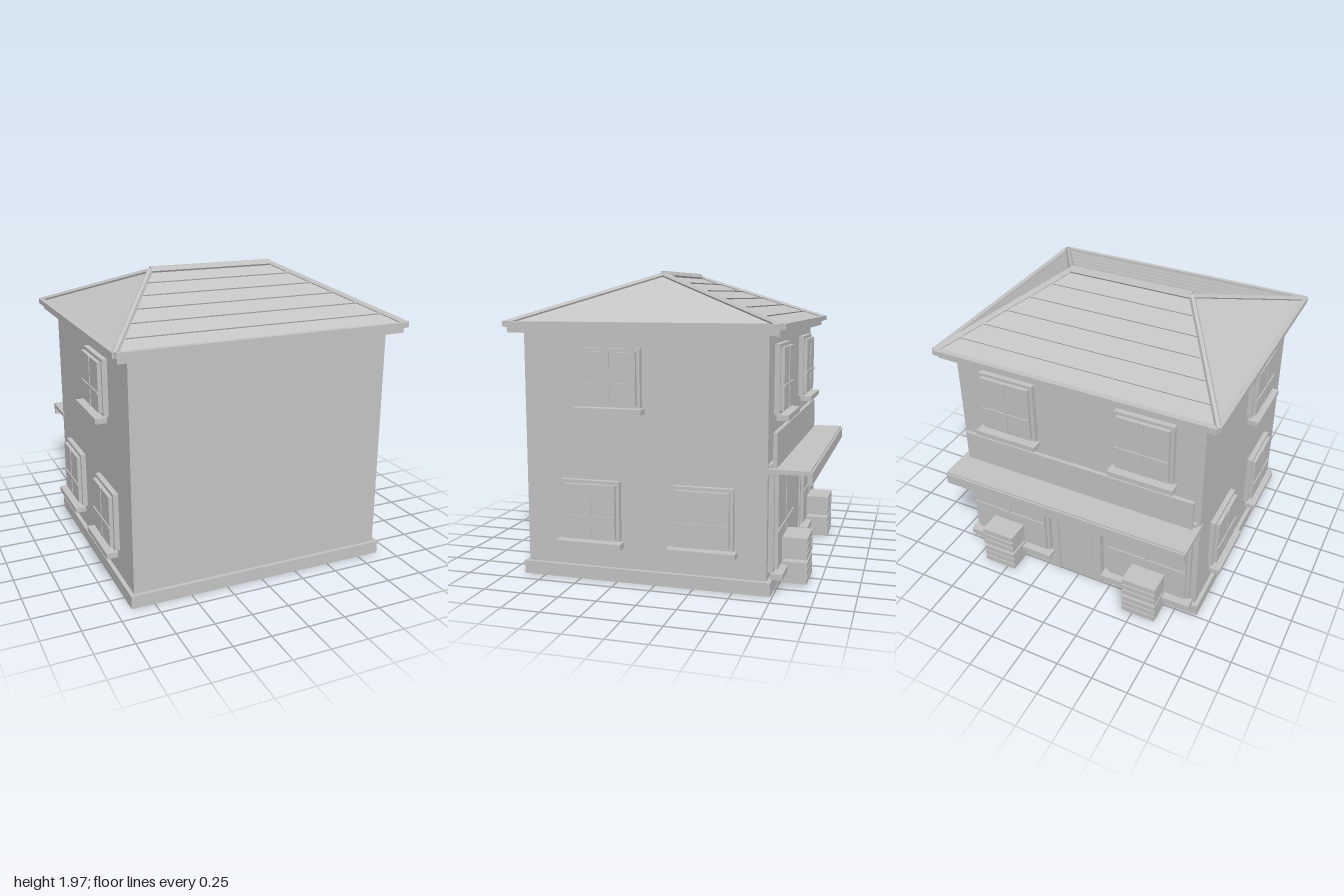
import * as THREE from 'three';
import { ConvexGeometry } from 'three/addons/geometries/ConvexGeometry.js';

export function createModel() {
  const house = new THREE.Group();
  house.name = 'house';
  const grey = new THREE.MeshStandardMaterial({ color: 0xc4c4c4 });
  grey.name = 'light grey';
  const V = (x, y, z) => new THREE.Vector3(x, y, z);

  const mesh = (parent, name, geometry) => {
    const m = new THREE.Mesh(geometry, grey);
    m.name = name;
    parent.add(m);
    return m;
  };
  // Box given by its limits on each axis
  const box = (parent, name, [x0, x1], [y0, y1], [z0, z1]) => {
    const m = mesh(parent, name, new THREE.BoxGeometry(x1 - x0, y1 - y0, z1 - z0));
    m.position.set((x0 + x1) / 2, (y0 + y1) / 2, (z0 + z1) / 2);
    return m;
  };
  // Six-sided bar between two points
  const bar = (parent, name, a, b, r) => {
    const g = new THREE.CylinderGeometry(r, r, a.distanceTo(b), 6).toNonIndexed();
    g.computeVertexNormals();
    const m = mesh(parent, name, g);
    m.position.copy(a).add(b).multiplyScalar(0.5);
    m.quaternion.setFromUnitVectors(V(0, 1, 0), b.clone().sub(a).normalize());
    return m;
  };

  // Walls, plinth and soffit
  box(house, 'walls', [-0.877, 0.877], [0, 1.6], [-0.71, 0.87]);
  box(house, 'plinth', [-0.903, 0.903], [0, 0.085], [-0.737, 0.895]);
  box(house, 'soffit', [-0.96, 0.96], [1.58, 1.62], [-0.785, 0.945]);

  // Hipped roof
  const roof = new THREE.Group();
  roof.name = 'roof';
  house.add(roof);
  const eaveX = 0.975, eaveY = 1.635, ridgeX = 0.44, ridgeY = 1.94, ridgeZ = 0.078;
  const front = 0.955, back = -0.8;
  const points = [];
  for (const s of [-1, 1]) {
    points.push(V(s * ridgeX, ridgeY, ridgeZ));
    for (const z of [front, back]) {
      points.push(V(s * eaveX, eaveY, z), V(s * eaveX, 1.615, z));
    }
  }
  mesh(roof, 'roofSlopes', new ConvexGeometry(points));

  // Eave trims, hip bars and ridge cap
  for (const s of [-1, 1]) {
    box(roof, 'sideEave', s > 0 ? [0.955, 0.99] : [-0.99, -0.955], [1.618, 1.652], [-0.8, 0.955]);
    for (const z of [front, back]) {
      bar(roof, 'hipBar', V(s * eaveX, eaveY + 0.003, z), V(s * ridgeX, ridgeY + 0.003, ridgeZ), 0.02);
    }
  }
  box(roof, 'frontEave', [-0.975, 0.975], [1.618, 1.652], [0.94, 0.97]);
  box(roof, 'backEave', [-0.975, 0.975], [1.618, 1.652], [-0.822, -0.785]);
  bar(roof, 'ridgeCap', V(-ridgeX, 1.943, ridgeZ), V(ridgeX, 1.943, ridgeZ), 0.03);

  // Tile courses on the two long slopes
  for (const edge of [front, back]) {
    const run = edge - ridgeZ;
    const tilt = Math.atan2(ridgeY - eaveY, run > 0 ? run : -run) * Math.sign(run);
    for (let i = 1; i <= 5; i++) {
      const t = i / 6;
      const half = ridgeX + (eaveX - ridgeX) * t - 0.02;
      const course = mesh(roof, 'tileCourse', new THREE.BoxGeometry(half * 2, 0.012, 0.012));
      course.position.set(0, ridgeY + (eaveY - ridgeY) * t + 0.002, ridgeZ + run * t);
      course.rotation.x = tilt;
    }
  }

  // Window facing +z with its bottom centre on the wall
  const makeWindow = (name, w, h) => {
    const g = new THREE.Group();
    g.name = name;
    const a = w / 2, b = 0.022, barY = h * 0.41;
    box(g, 'frame', [-a, a], [0, h], [-0.005, 0.034]);
    box(g, 'pane', [-a + b, a - b], [b, h - b], [0.03, 0.058]);
    box(g, 'uprightBar', [-0.008, 0.008], [b, h - b], [0.05, 0.063]);
    box(g, 'crossBar', [-a + b, a - b], [barY - 0.008, barY + 0.008], [0.05, 0.066]);
    box(g, 'sill', [-a - 0.025, a + 0.025], [-0.032, 0.004], [0.02, 0.096]);
    house.add(g);
    return g;
  };
  for (const s of [-1, 1]) {
    for (const [z, y, w, h] of [[0.28, 1.12, 0.395, 0.37], [0.42, 0.262, 0.385, 0.39], [-0.315, 0.262, 0.385, 0.39]]) {
      const win = makeWindow('sideWindow', w, h);
      win.position.set(s * 0.877, y, z);
      win.rotation.y = s * Math.PI / 2;
    }
    for (const [name, x, y, w, h] of [['upperBackWindow', 0.49, 1.085, 0.4, 0.435], ['shopWindow', 0.535, 0.128, 0.61, 0.64]]) {
      const win = makeWindow(name, w, h);
      win.position.set(s * x, y, -0.71);
      win.rotation.y = Math.PI;
    }
  }

  // Shopfront: lintel, sign board and canopy
  box(house, 'lintel', [-0.86, 0.86], [0.74, 0.81], [-0.735, -0.7]);
  box(house, 'signBoard', [-0.84, 0.84], [0.78, 1.0], [-0.76, -0.734]);
  box(house, 'canopy', [-0.885, 0.885], [0.757, 0.785], [-0.965, -0.68]);
  box(house, 'canopyFascia', [-0.88, 0.88], [0.7, 0.775], [-0.977, -0.948]);

  // Door with jambs and panels
  const door = new THREE.Group();
  door.name = 'door';
  house.add(door);
  box(door, 'doorLeaf', [-0.15, 0.15], [0, 0.73], [-0.745, -0.7]);
  box(door, 'doorHead', [-0.18, 0.18], [0.71, 0.75], [-0.757, -0.7]);
  box(door, 'upperPanel', [-0.115, 0.115], [0.2, 0.67], [-0.752, -0.74]);
  for (const s of [-1, 1]) {
    box(door, 'doorJamb', [s * 0.165 - 0.018, s * 0.165 + 0.018], [0, 0.75], [-0.757, -0.7]);
  }

  // Stacked slatted crates beside the door
  for (const x of [-0.55, 0.55]) {
    for (const y of [0.016, 0.173]) {
      const crate = new THREE.Group();
      crate.name = 'crate';
      crate.position.set(x, y, 0);
      house.add(crate);
      box(crate, 'crateBody', [-0.12, 0.12], [0, 0.138], [-0.918, -0.765]);
      for (let i = 0; i < 3; i++) {
        box(crate, 'crateSlat', [-0.12, 0.12], [i * 0.049, i * 0.049 + 0.04], [-0.927, -0.915]);
      }
    }
  }
  return house;
}
